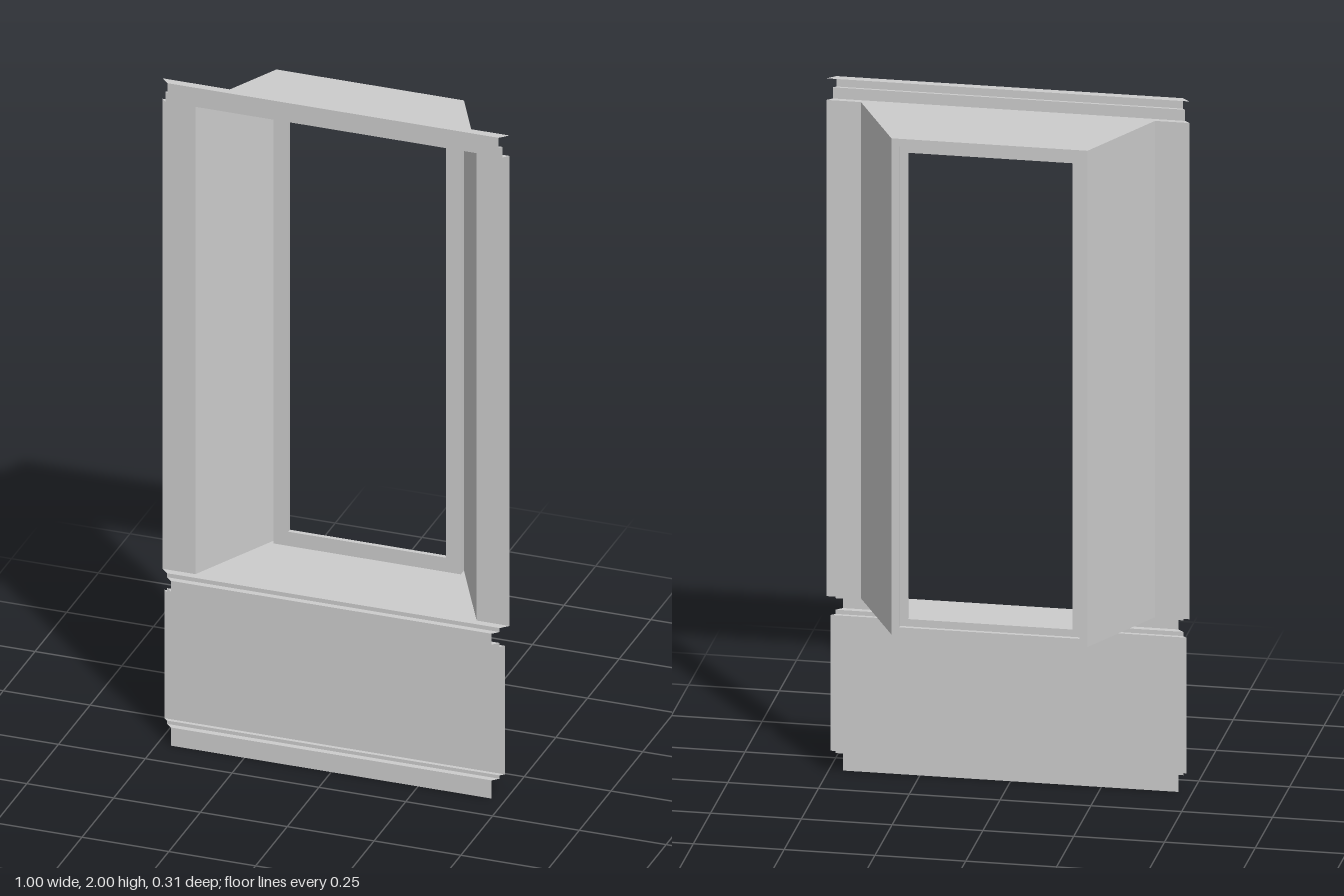
import * as THREE from 'three';

const WALL_Z = 0.115, BACK_Z = -0.155;   // wall plane and rear of the bay
const Y0 = 0.512, Y1 = 1.938;            // bottom and top of the window bay

export function createModel() {
  const group = new THREE.Group();
  group.name = 'windowBayPanel';
  const material = new THREE.MeshStandardMaterial({
    color: 0xcccccc, flatShading: true, side: THREE.DoubleSide,
  });

  function add(name, geometry) {
    const mesh = new THREE.Mesh(geometry, material);
    mesh.name = name;
    group.add(mesh);
  }

  // Thin sheet made of separate quads, corners counter-clockwise
  function sheet(name, quads) {
    const points = [];
    for (const [a, b, c, d] of quads) points.push(...a, ...b, ...c, ...a, ...c, ...d);
    const geometry = new THREE.BufferGeometry();
    geometry.setAttribute('position', new THREE.Float32BufferAttribute(points, 3));
    geometry.computeVertexNormals();
    add(name, geometry);
  }

  // Horizontal moulding from a rising [y, z] profile, its ends mitred at 45 degrees
  function moulding(name, profile) {
    const half = (z) => 0.5 - (z - WALL_Z);
    const quads = [];
    for (let i = 0; i + 1 < profile.length; i++) {
      const [ya, za] = profile[i], [yb, zb] = profile[i + 1];
      quads.push([
        [-half(za), ya, za], [half(za), ya, za], [half(zb), yb, zb], [-half(zb), yb, zb],
      ]);
    }
    sheet(name, quads);
  }

  // Plinth, recessed apron panel and stepped sill
  moulding('plinth', [[0, 0.153], [0.055, 0.153], [0.055, 0.136], [0.065, 0.136], [0.065, 0.125]]);
  moulding('apronPanel', [[0.065, 0.125], [0.455, 0.125]]);
  moulding('sill', [
    [0.455, 0.125], [0.455, 0.136], [0.467, 0.136], [0.467, 0.153],
    [0.5, 0.153], [0.5, 0.136], [Y0, 0.136], [Y0, WALL_Z],
  ]);

  // Stepped cornice with its top ledge
  moulding('cornice', [
    [Y1, WALL_Z], [Y1, 0.13], [1.97, 0.13], [1.97, 0.138], [2, 0.138], [2, WALL_Z],
  ]);

  // Wall strips and splayed bay sides, mirrored
  const front = 0.405, back = 0.27;
  for (const s of [-1, 1]) {
    const side = s < 0 ? 'right' : 'left';
    const upright = (xa, za, xb, zb) => {
      const quad = [[xa, Y0, za], [xb, Y0, zb], [xb, Y1, zb], [xa, Y1, za]];
      return [s > 0 ? quad : quad.reverse()];
    };
    sheet(side + 'WallStrip', upright(s * front, WALL_Z, s * 0.5, WALL_Z));
    sheet(side + 'BaySide', upright(s * back, BACK_Z, s * front, WALL_Z));
  }

  // Bay floor and ceiling
  const level = (y) => [
    [-front, y, WALL_Z], [front, y, WALL_Z], [back, y, BACK_Z], [-back, y, BACK_Z],
  ];
  sheet('bayFloor', [level(Y0)]);
  sheet('bayCeiling', [level(Y1).reverse()]);

  // Window frame: rear rim around a slightly recessed inner frame
  function frame(name, outer, inner, z, depth) {
    const rect = (target, inset) => {
      const x = back - inset, a = Y0 + inset, b = Y1 - inset;
      return target.moveTo(-x, a).lineTo(x, a).lineTo(x, b).lineTo(-x, b).closePath();
    };
    const shape = rect(new THREE.Shape(), outer);
    shape.holes.push(rect(new THREE.Path(), inner));
    const geometry = new THREE.ExtrudeGeometry(shape, { depth, bevelEnabled: false });
    add(name, geometry.translate(0, 0, z));
  }
  frame('frameRim', 0, 0.022, BACK_Z, 0.025);
  frame('innerFrame', 0.022, 0.043, BACK_Z + 0.012, 0.013);

  return group;
}
